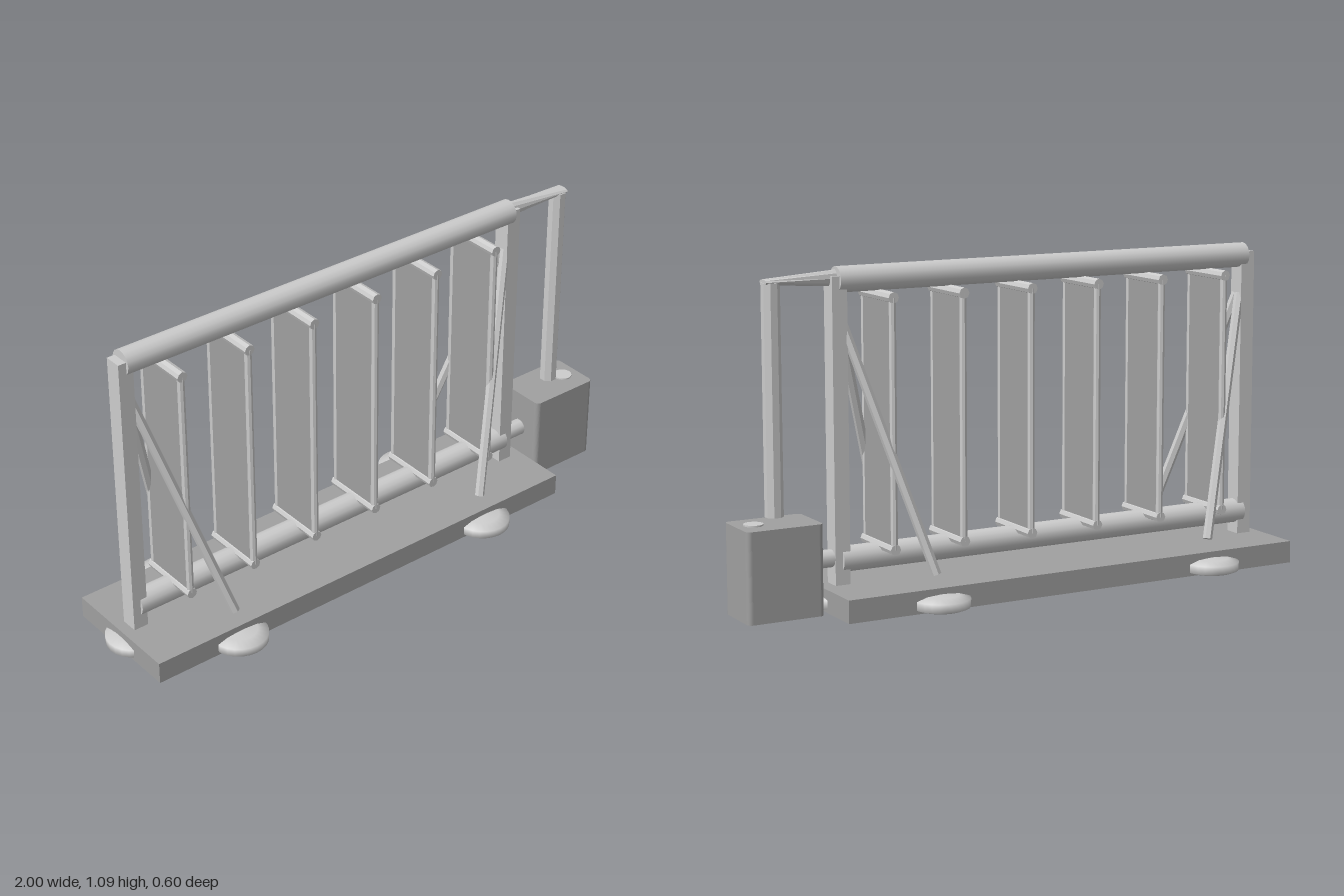
import * as THREE from 'three';

export function createModel() {
  const model = new THREE.Group();
  const lightGrey = new THREE.MeshStandardMaterial({ color: 0xcccccc });
  lightGrey.name = 'lightGrey';
  const midGrey = new THREE.MeshStandardMaterial({ color: 0xa0a0a0 });
  midGrey.name = 'midGrey';

  function add(name, geometry, material, x = 0, y = 0, z = 0, parent = model) {
    const mesh = new THREE.Mesh(geometry, material);
    mesh.name = name;
    mesh.position.set(x, y, z);
    parent.add(mesh);
    return mesh;
  }

  function faceted(geometry) {
    const g = geometry.toNonIndexed();
    g.computeVertexNormals();
    return g;
  }

  // Straight bar between two points
  function bar(name, a, b, radius, sides, flat, parent = model) {
    const start = new THREE.Vector3(...a);
    const end = new THREE.Vector3(...b);
    const dir = end.clone().sub(start);
    const g = new THREE.CylinderGeometry(radius, radius, dir.length(), sides);
    const mesh = add(name, flat ? faceted(g) : g, lightGrey, 0, 0, 0, parent);
    mesh.position.copy(start).add(end).multiplyScalar(0.5);
    mesh.quaternion.setFromUnitVectors(new THREE.Vector3(0, 1, 0), dir.normalize());
    return mesh;
  }

  // Base slab and end posts
  add('base', new THREE.BoxGeometry(1.68, 0.075, 0.44), midGrey, -0.12, 0.0375, 0);
  for (const x of [-0.897, 0.648]) {
    add('endPost', new THREE.BoxGeometry(0.052, 0.985, 0.06), lightGrey, x, 0.5675, 0);
  }

  // Main horizontal pipes
  bar('topPipe', [-0.895, 1.047, 0], [0.648, 1.047, 0], 0.042, 16, false);
  bar('bottomPipe', [-0.895, 0.153, 0], [0.648, 0.153, 0], 0.042, 16, false);
  bar('outletPipe', [0.64, 0.16, 0], [0.76, 0.16, 0], 0.029, 10, false);

  // Row of upright panels, each with a rod along every edge
  for (let i = 0; i < 6; i++) {
    const panel = new THREE.Group();
    panel.name = 'panel';
    panel.position.x = -0.75 + i * 0.25;
    add('panelSheet', new THREE.BoxGeometry(0.018, 0.805, 0.21), midGrey, 0, 0.588, 0, panel);
    for (const y of [0.187, 0.992]) {
      bar('panelCrossRod', [0, y, -0.11], [0, y, 0.11], 0.018, 8, true, panel);
    }
    for (const z of [-0.099, 0.099]) {
      bar('panelEdgeRod', [0, 0.187, z], [0, 0.992, z], 0.012, 8, true, panel);
    }
    model.add(panel);
  }

  // Diagonal braces
  for (const s of [-1, 1]) {
    bar('leftBrace', [0.395, 0.112, s * 0.185], [0.632, 0.915, s * 0.008], 0.016, 6, true);
    bar('rightBrace', [-0.64, 0.112, s * 0.185], [-0.877, 0.915, s * 0.008], 0.016, 6, true);
  }

  // Low domed feet around the base
  const footProfile = [[0, 0.006], [0.08, 0.006], [0.095, 0.012], [0.096, 0.04], [0.06, 0.051], [0, 0.056]]
    .map(([r, y]) => new THREE.Vector2(r, y));
  const foot = new THREE.LatheGeometry(footProfile, 24);
  for (const [x, z] of [[-0.64, 0.205], [-0.64, -0.205], [0.39, 0.205], [0.39, -0.205], [-0.904, 0], [0.65, 0]]) {
    add('foot', foot, lightGrey, x, 0, z);
  }

  // Tank with rounded upright corners
  const w = 0.13, d = 0.09, r = 0.016;
  const outline = new THREE.Shape();
  outline.absarc(w - r, d - r, r, 0, Math.PI / 2);
  outline.absarc(r - w, d - r, r, Math.PI / 2, Math.PI);
  outline.absarc(r - w, r - d, r, Math.PI, Math.PI * 1.5);
  outline.absarc(w - r, r - d, r, Math.PI * 1.5, Math.PI * 2);
  const tank = new THREE.ExtrudeGeometry(outline, { depth: 0.295, bevelEnabled: false, curveSegments: 4 });
  tank.rotateX(-Math.PI / 2);
  add('tank', tank, midGrey, 0.87, 0, 0);
  add('tankCap', new THREE.CylinderGeometry(0.032, 0.032, 0.008, 16), lightGrey, 0.94, 0.296, 0);

  // Down pipe and the flattening arm that joins it to the top pipe
  bar('downPipe', [0.869, 0.315, 0], [0.869, 1.05, 0], 0.03, 8, true).rotateY(Math.PI / 8);
  const arm = new THREE.CylinderGeometry(1, 1, 1, 10, 1);
  arm.rotateZ(-Math.PI / 2);
  const p = arm.attributes.position;
  for (let i = 0; i < p.count; i++) {
    const t = p.getX(i) + 0.5;
    p.setXYZ(i,
      0.65 + 0.243 * t,
      1.052 + p.getY(i) * (0.027 - 0.018 * t),
      p.getZ(i) * (0.018 + 0.008 * t));
  }
  add('connectingArm', faceted(arm), lightGrey);

  return model;
}
